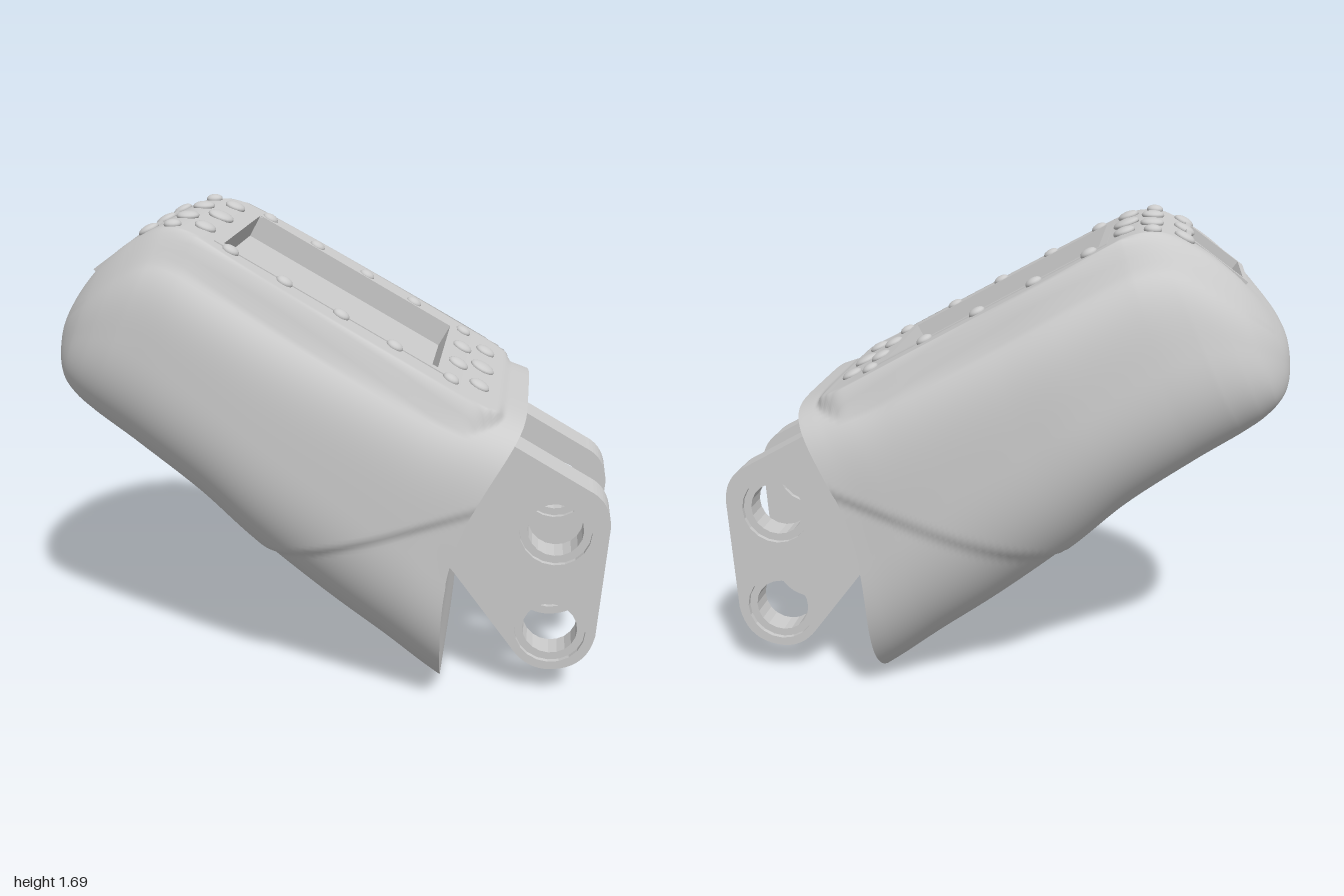
import * as THREE from 'three';

const material = new THREE.MeshStandardMaterial({ color: 0xcccccc });
const V = (x, y, z = 0) => new THREE.Vector3(x, y, z);
const { smoothstep, lerp } = THREE.MathUtils;

// Stations from nose to open end: top x, top y, bottom x, bottom y, half width
const STATIONS = [
  [-1, 1.18, -1, 1.18, 0],
  [-0.97, 1.295, -0.992, 1.11, 0.14],
  [-0.9, 1.4, -0.98, 1.075, 0.23],
  [-0.78, 1.515, -0.955, 1.04, 0.325],
  [-0.65, 1.61, -0.91, 0.995, 0.39],
  [-0.52, 1.665, -0.84, 0.945, 0.44],
  [-0.4, 1.645, -0.69, 0.85, 0.485],
  [-0.15, 1.508, -0.45, 0.68, 0.53],
  [0.05, 1.398, -0.27, 0.515, 0.54],
  [0.3, 1.26, 0, 0.297, 0.54],
  [0.5, 1.15, 0.22, 0.137, 0.535],
  [0.62, 1.09, 0.35, 0.037, 0.53],
  [0.7, 1.06, 0.42, -0.014, 0.528],
];
const LAST = STATIONS.length - 1;
const topCurve = new THREE.CatmullRomCurve3(STATIONS.map(s => V(s[0], s[1], s[4])));
const bottomCurve = new THREE.CatmullRomCurve3(STATIONS.map(s => V(s[2], s[3])));

// Rectangular recesses sunk into the upper surface
const RECESSES = [
  { name: 'window', x: 0.03, y: 1.409, angle: -Math.atan(0.55), length: 0.825, half: 0.285, depth: 0.085, lip: 0.03, proud: 0.003 },
  { name: 'rearSlot', x: -0.72, y: 1.562, angle: 0.63, length: 0.215, half: 0.168, depth: 0.07, lip: 0.022, proud: 0.002 },
];

function topAt(t) {
  const p = topCurve.getPoint(t);
  if (p.x > -0.42) p.y = Math.min(p.y, 1.425 - 0.55 * p.x + 0.02 * smoothstep(p.x, 0.5, 0.7));
  return p;
}

// One surface point: squarish above, round below, with raised panel and crease
function bodyPoint(t, phi) {
  const s = t * LAST, top = topAt(t), bottom = bottomCurve.getPoint(t);
  const w = top.z;
  const mid = V((top.x + bottom.x) / 2, (top.y + bottom.y) / 2);
  const up = V(top.x - mid.x, top.y - mid.y);
  const c = Math.cos(phi), sn = Math.sin(phi);
  const n = c > 0 ? lerp(2.4, 3.8, smoothstep(s, 1, 7)) + 1.4 * smoothstep(s, 7, LAST) : 2.5;
  const r = Math.pow(Math.abs(c) ** n + Math.abs(sn) ** n, -1 / n);
  let h = c * r, z = sn * r * w;
  if (h > 0) {
    const drop = 0.03 * smoothstep(s, 1.5, 4) * (1 - 0.85 * smoothstep(top.x, 0.4, 0.66));
    h *= 1 - drop / Math.max(up.length(), 0.1);
    const panel = w * lerp(0.74, 0.82, smoothstep(s, 4, 7)) - 0.08 * smoothstep(top.x, 0.5, 0.66) ** 2;
    const soft = lerp(0.07, 0.025, smoothstep(s, 4, 7));
    const mask = (1 - smoothstep(Math.abs(z), panel - soft / 2, panel + soft))
      * smoothstep(s, 1.5, 3) * (1 - smoothstep(top.x, 0.6, 0.64)) * (h > 0.5 ? 1 : 0);
    h = lerp(h, 1, mask);
  }
  const p = V(mid.x + up.x * h, mid.y + up.y * h, z);
  // Concave bend of the open end
  const v = Math.max(0, (h + 1) / 2);
  p.x -= 0.11 * Math.sin(Math.PI * v ** 1.3) * smoothstep(s, 8.5, LAST);
  // Narrower lower part under the slanting crease
  const line = 0.52 + 0.354 * (p.x + 0.27);
  const inset = 1 - 0.025 * smoothstep(line - p.y, 0, 0.04);
  if (h < 0) {
    p.x = mid.x + (p.x - mid.x) * inset;
    p.y = mid.y + (p.y - mid.y) * inset;
  }
  p.z *= inset;
  return p;
}

function insideRecess(p) {
  return RECESSES.some(r => {
    const dx = p.x - r.x, dy = p.y - r.y, c = Math.cos(r.angle), s = Math.sin(r.angle);
    return Math.abs(dx * c + dy * s) < r.length / 2 && Math.abs(dy * c - dx * s) < 0.05 && Math.abs(p.z) < r.half;
  });
}

function surface(points, index) {
  const g = new THREE.BufferGeometry().setFromPoints(points);
  g.setIndex(index);
  g.computeVertexNormals();
  return g;
}

function addMesh(parent, name, geometry) {
  const mesh = new THREE.Mesh(geometry, material);
  mesh.name = name;
  parent.add(mesh);
  return mesh;
}

function addBody(parent) {
  const M = 168, N = 200, pts = [], index = [];
  for (let j = 0; j <= M; j++)
    for (let i = 0; i < N; i++) pts.push(bodyPoint(j / M, (i / N) * Math.PI * 2));
  const cut = pts.map(insideRecess);
  const tri = (...t) => { if (!t.some(k => cut[k])) index.push(...t); };
  for (let j = 0; j < M; j++)
    for (let i = 0; i < N; i++) {
      const a = j * N + i, b = j * N + (i + 1) % N;
      tri(a, b, a + N);
      tri(b, b + N, a + N);
    }
  addMesh(parent, 'body', surface(pts, index));

  // End face, stitched from side to side
  const rim = pts.slice(M * N), cap = [];
  for (let i = 0; i < N / 2; i++) {
    const b = (N - i) % N, b2 = N - i - 1;
    cap.push(i, i + 1, b, b, i + 1, b2);
  }
  addMesh(parent, 'endFace', surface(rim, cap));
}

function rectangle(shape, a, b) {
  shape.moveTo(-a, -b);
  shape.lineTo(a, -b);
  shape.lineTo(a, b);
  shape.lineTo(-a, b);
  shape.closePath();
  return shape;
}

// Flat rim plus an inward-facing open box
function addRecess(parent, r) {
  const group = new THREE.Group();
  group.name = r.name;
  group.position.set(r.x, r.y, 0);
  group.rotation.z = r.angle;
  const frame = rectangle(new THREE.Shape(), r.length / 2 + r.lip, r.half + r.lip);
  frame.holes.push(rectangle(new THREE.Path(), r.length / 2, r.half));
  const rim = new THREE.ExtrudeGeometry(frame, { depth: 0.03, bevelEnabled: false });
  rim.rotateX(-Math.PI / 2).translate(0, r.proud - 0.03, 0);
  addMesh(group, r.name + 'Rim', rim);
  const box = new THREE.BoxGeometry(r.length, r.depth, r.half * 2);
  const faces = Array.from(box.index.array);
  faces.splice(12, 6);
  box.clearGroups();
  box.setIndex(faces.reverse());
  box.computeVertexNormals();
  box.translate(0, -r.depth / 2, 0);
  addMesh(group, r.name + 'Well', box);
  parent.add(group);
}

// Flattened studs lying on the upper surface
function addStuds(parent) {
  const rows = [[-0.41, 0, 0.047], [-0.61, 0, 0.04], [0.53, 0, 0.046]];
  const pairs = [[-0.5, 0.11, 0.04], [-0.41, 0.22, 0.038], [-0.61, 0.215, 0.038], [-0.505, 0.285, 0.03],
    [0.45, 0.11, 0.038], [0.53, 0.22, 0.038]];
  for (const x of [-0.3, -0.12, 0.07, 0.25, 0.44]) pairs.push([x, 0.322, 0.03]);
  for (const [x, z, r] of pairs) rows.push([x, z, r], [x, -z, r]);
  const sphere = new THREE.SphereGeometry(1, 16, 10);
  for (const [x, z, r] of rows) {
    let lo = 0, hi = 1;
    for (let k = 0; k < 30; k++) {
      const m = (lo + hi) / 2;
      if (topAt(m).x < x) lo = m; else hi = m;
    }
    const p = topAt(lo), a = topAt(lo - 0.01), b = topAt(Math.min(1, lo + 0.01));
    const stud = addMesh(parent, 'stud', sphere);
    stud.position.set(x, p.y + 0.003, z);
    stud.rotation.z = Math.atan2(b.y - a.y, b.x - a.x);
    stud.scale.set(r, 0.017, r);
  }
}

// Hinge plate with two counterbored holes
function plate(holeRadius, depth, z) {
  const s = new THREE.Shape();
  s.moveTo(0.42, 0.52);
  s.lineTo(0.47, 0.46);
  s.lineTo(0.69, 0.17);
  s.quadraticCurveTo(0.74, 0.105, 0.81, 0.105);
  s.quadraticCurveTo(0.95, 0.11, 0.975, 0.25);
  s.lineTo(1, 0.67);
  s.quadraticCurveTo(0.995, 0.765, 0.92, 0.8);
  s.lineTo(0.635, 0.96);
  s.lineTo(0.5, 0.9);
  s.closePath();
  for (const y of [0.26, 0.64]) {
    const hole = new THREE.Path();
    hole.absarc(0.815, y, holeRadius, 0, Math.PI * 2, true);
    s.holes.push(hole);
  }
  return new THREE.ExtrudeGeometry(s, { depth, bevelEnabled: false, curveSegments: 10 }).translate(0, 0, z);
}

export function createModel() {
  const model = new THREE.Group();
  model.name = 'fingertip';
  addBody(model);
  for (const r of RECESSES) addRecess(model, r);
  addStuds(model);
  for (const z of [0.217, -0.22]) {
    const hinge = new THREE.Group();
    hinge.name = z > 0 ? 'frontHinge' : 'backHinge';
    addMesh(hinge, 'hingeCore', plate(0.097, 0.1, z - 0.05));
    addMesh(hinge, 'hingeOuterSkin', plate(0.125, 0.018, z + 0.05));
    addMesh(hinge, 'hingeInnerSkin', plate(0.125, 0.018, z - 0.068));
    model.add(hinge);
  }
  return model;
}
